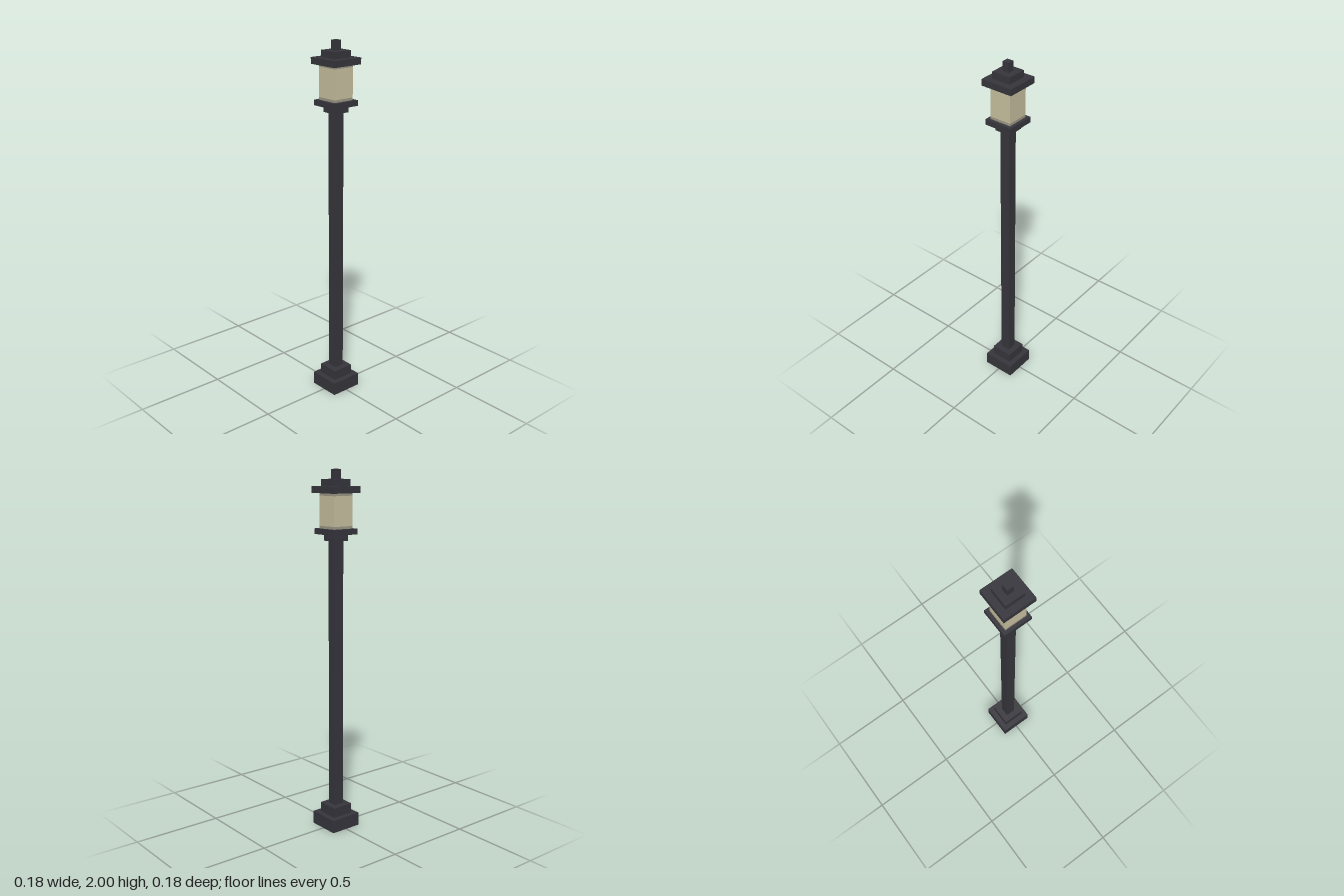
import * as THREE from 'three';

export function createModel() {
  const lamp = new THREE.Group();
  lamp.name = 'lampPost';

  const iron = new THREE.MeshStandardMaterial({ color: 0x37363d });
  iron.name = 'dark iron';
  const glass = new THREE.MeshStandardMaterial({ color: 0xcbc3a2 });
  glass.name = 'warm glass';
  const rim = new THREE.MeshStandardMaterial({ color: 0x9f9a87 });
  rim.name = 'shaded glass rim';

  // Square tiers stacked from the ground up: name, width, bottom, top, material
  const tiers = [
    ['basePlinth', 0.184, 0, 0.074, iron],
    ['baseStep', 0.124, 0.074, 0.13, iron],
    ['post', 0.056, 0.13, 1.625, iron],
    ['collar', 0.092, 1.625, 1.66, iron],
    ['lanternTray', 0.162, 1.66, 1.69, iron],
    ['lowerGlassRim', 0.124, 1.69, 1.704, rim],
    ['lanternGlass', 0.124, 1.704, 1.862, glass],
    ['upperGlassRim', 0.124, 1.862, 1.876, rim],
    ['roof', 0.184, 1.876, 1.911, iron],
    ['roofStep', 0.11, 1.911, 1.948, iron],
    ['finial', 0.037, 1.948, 2, iron],
  ];

  for (const [name, width, bottom, top, material] of tiers) {
    const mesh = new THREE.Mesh(new THREE.BoxGeometry(width, top - bottom, width), material);
    mesh.name = name;
    mesh.position.y = (bottom + top) / 2;
    lamp.add(mesh);
  }
  return lamp;
}
